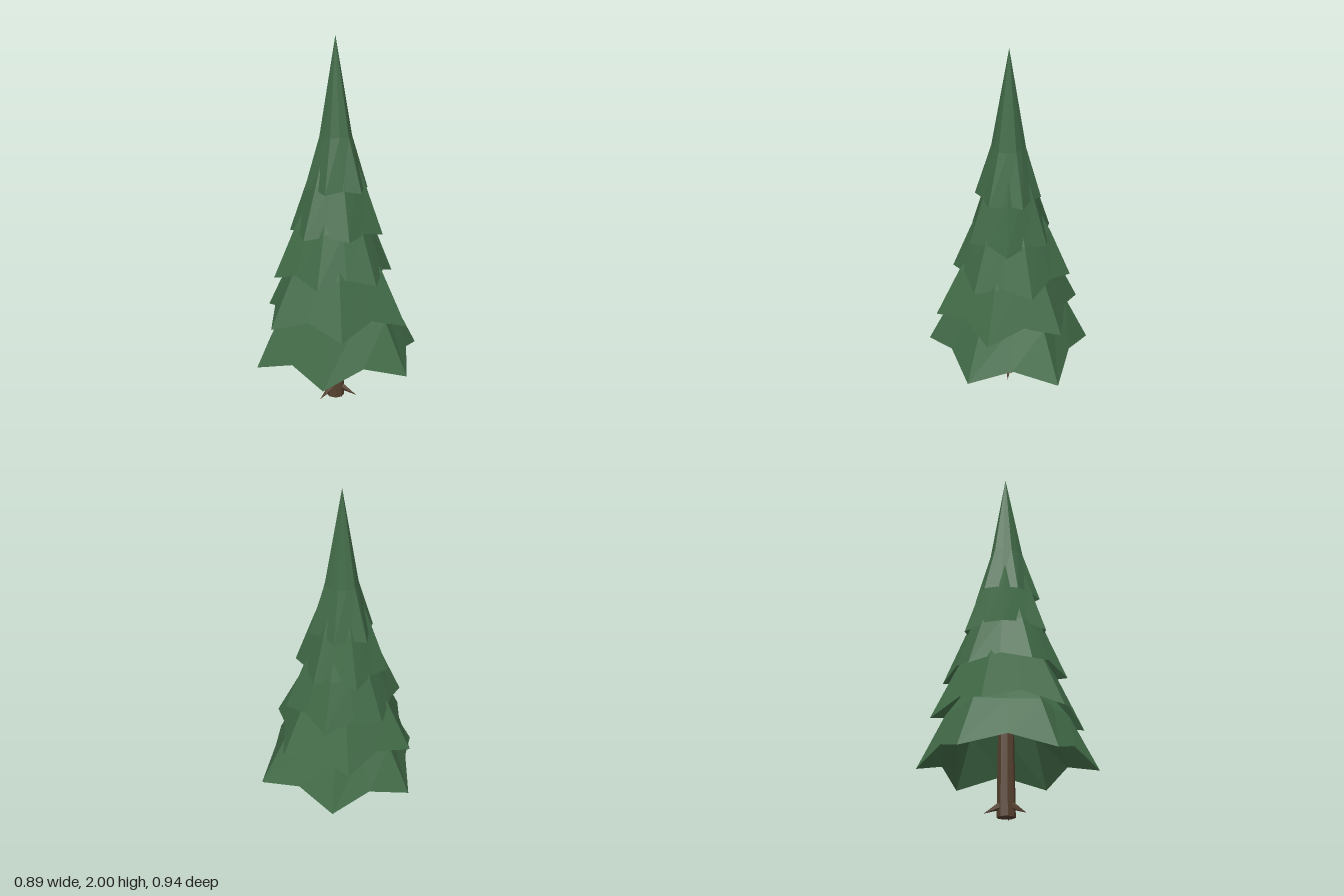
import * as THREE from 'three';

const CX = -0.025; // trunk axis

// A ring of tips with a notch between each pair; notch scales the chord's midpoint.
function jaggedRing(tips, scale, tipY, notchY, notch) {
  return tips.flatMap(([x, z], i) => {
    const [nx, nz] = tips[(i + 1) % tips.length];
    const k = scale * notch;
    return [
      new THREE.Vector3(CX + (x - CX) * scale, tipY, z * scale),
      new THREE.Vector3(CX + ((x + nx) / 2 - CX) * k, notchY, (z + nz) / 2 * k),
    ];
  });
}

// One skirt of foliage: apex, rounder middle ring and a jagged hem.
function skirtGeometry({ tips, tipY, notchY, notch, midY, mid, midNotch, apexY }) {
  const hem = jaggedRing(tips, 1, tipY, notchY, notch);
  const ring = jaggedRing(tips, mid, midY, midY, midNotch);
  const apex = new THREE.Vector3(CX, apexY, 0);
  const pts = [];
  hem.forEach((a, i) => {
    const j = (i + 1) % hem.length;
    pts.push(hem[j], a, ring[i], hem[j], ring[i], ring[j], ring[j], ring[i], apex);
  });
  const g = new THREE.BufferGeometry().setFromPoints(pts);
  g.computeVertexNormals();
  return g;
}

// Skirts from the ground up; tips are [x, z], running clockwise from above.
const SKIRTS = [
  { tips: [[-0.09, -0.475], [0.33, -0.28], [0.445, 0.185], [0.04, 0.47], [-0.40, 0.29], [-0.45, -0.175]],
    tipY: 0.24, notchY: 0.31, notch: 0.935, midY: 0.52, mid: 0.7, midNotch: 0.97, apexY: 0.95 },
  { tips: [[-0.17, -0.40], [0.23, -0.305], [0.375, 0.065], [0.12, 0.39], [-0.30, 0.325], [-0.43, -0.075]],
    tipY: 0.48, notchY: 0.545, notch: 0.92, midY: 0.76, mid: 0.67, midNotch: 1.0, apexY: 1.2 },
  { tips: [[-0.02, -0.315], [0.27, -0.165], [0.25, 0.165], [-0.03, 0.31], [-0.31, 0.155], [-0.315, -0.18]],
    tipY: 0.72, notchY: 0.765, notch: 0.97, midY: 0.99, mid: 0.66, midNotch: 1.05, apexY: 1.42 },
  { tips: [[-0.165, -0.215], [0.085, -0.22], [0.21, -0.02], [0.12, 0.215], [-0.135, 0.215], [-0.275, 0.015]],
    tipY: 0.955, notchY: 0.98, notch: 0.95, midY: 1.23, mid: 0.62, midNotch: 1.02, apexY: 1.66 },
  { tips: [[-0.02, -0.19], [0.12, -0.085], [0.13, 0.09], [-0.02, 0.19], [-0.19, 0.09], [-0.17, -0.09]],
    tipY: 1.195, notchY: 1.21, notch: 0.95, midY: 1.48, mid: 0.51, midNotch: 1.05, apexY: 2.0 },
];

export function createModel() {
  const needles = new THREE.MeshStandardMaterial({ color: 0x426b48, flatShading: true, side: THREE.DoubleSide });
  needles.name = 'needle green';
  const bark = new THREE.MeshStandardMaterial({ color: 0x574230, flatShading: true });
  bark.name = 'bark brown';

  const model = new THREE.Group();
  model.name = 'firTree';

  // Foliage
  SKIRTS.forEach((s, i) => {
    const skirt = new THREE.Mesh(skirtGeometry(s), needles);
    skirt.name = `foliageSkirt${i + 1}`;
    model.add(skirt);
  });

  // Trunk
  const trunk = new THREE.Mesh(new THREE.CylinderGeometry(0.037, 0.048, 0.8, 8), bark);
  trunk.name = 'trunk';
  trunk.position.set(CX, 0.4, 0);
  model.add(trunk);

  // Three pointed roots running from the trunk to the ground
  for (const deg of [60, 180, 300]) {
    const a = THREE.MathUtils.degToRad(deg);
    const from = new THREE.Vector3(CX + Math.cos(a) * 0.025, 0.06, Math.sin(a) * 0.025);
    const to = new THREE.Vector3(CX + Math.cos(a) * 0.122, 0.008, Math.sin(a) * 0.122);
    const dir = to.clone().sub(from);
    const root = new THREE.Mesh(new THREE.ConeGeometry(0.022, dir.length(), 5), bark);
    root.name = 'root';
    root.position.copy(from).add(to).multiplyScalar(0.5);
    root.quaternion.setFromUnitVectors(new THREE.Vector3(0, 1, 0), dir.normalize());
    model.add(root);
  }
  return model;
}
